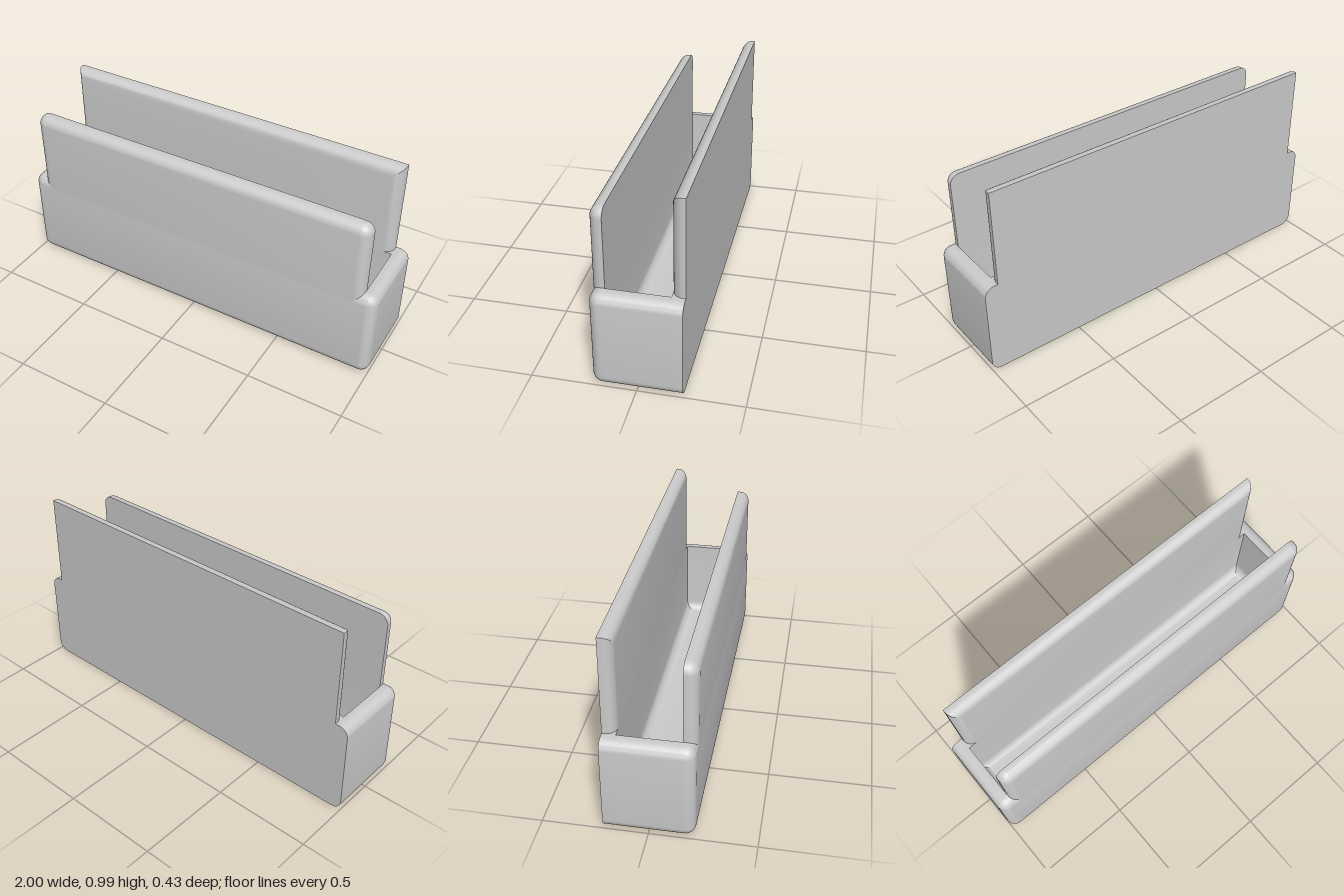
import * as THREE from 'three';
import { toCreasedNormals } from 'three/addons/utils/BufferGeometryUtils.js';

const R = 0.05;      // fillet radius
const STEPS = 8;     // segments per fillet
const BACK = -0.213, FRONT = 0.213, INNER = 0.149;
const PANEL_W = 0.93, BASE_TOP = 0.492, FLOOR = 0.065;

// Skin a list of equal-length rings; convex caps are fans. skip(i, j) leaves a quad open.
function loft(rings, { startCap = true, skip = () => false } = {}) {
  const pos = [];
  const tri = (...pts) => pts.forEach((p) => pos.push(...p));
  const n = rings[0].length;
  for (let i = 0; i < rings.length - 1; i++) {
    for (let j = 0; j < n; j++) {
      if (skip(i, j)) continue;
      const k = (j + 1) % n;
      const a = rings[i][j], b = rings[i][k], c = rings[i + 1][k], d = rings[i + 1][j];
      tri(a, b, c);
      tri(a, c, d);
    }
  }
  const last = rings[rings.length - 1];
  for (let j = 1; j < n - 1; j++) {
    tri(last[0], last[j], last[j + 1]);
    if (startCap) tri(rings[0][0], rings[0][j + 1], rings[0][j]);
  }
  const geo = new THREE.BufferGeometry();
  geo.setAttribute('position', new THREE.Float32BufferAttribute(pos, 3));
  return toCreasedNormals(geo, 0.6);
}

// Quarter-round steps: how far each ring moves inward and along
const fillet = Array.from({ length: STEPS + 1 }, (_, i) => {
  const t = (i / STEPS) * Math.PI / 2;
  return { inset: R * (1 - Math.cos(t)), along: R * Math.sin(t) };
});

// Upright outline, counter-clockwise from the front, with optional corner radii
function outline(z, inset, { w, y0, y1, top = 0, bottom = 0, insetBottom = false, slot = 0 }) {
  const pts = [];
  const corner = (sx, sy, r, a0, edgeInset) => {
    const rad = Math.max(r - inset, 0);
    const cx = sx * (w - Math.max(r, inset));
    const cy = sy > 0 ? y1 - Math.max(r, inset) : y0 + (edgeInset ? Math.max(r, inset) : 0);
    const n = r > 0 ? STEPS : 0;
    for (let i = 0; i <= n; i++) {
      const a = a0 + (n ? (i / n) * Math.PI / 2 : 0);
      pts.push([cx + rad * Math.cos(a), cy + rad * Math.sin(a), z]);
    }
  };
  corner(1, 1, top, 0, true);
  if (slot) pts.push([slot, y1 - inset, z], [-slot, y1 - inset, z]);
  corner(-1, 1, top, Math.PI / 2, true);
  corner(-1, -1, bottom, Math.PI, insetBottom);
  corner(1, -1, bottom, Math.PI * 1.5, insetBottom);
  return pts;
}

// Slab with a flat back and a filleted front
function slab(zs, zFront, shape, options) {
  return loft([
    ...zs.map((z) => outline(z, 0, shape)),
    ...fillet.map((f) => outline(zFront - R + f.along, f.inset, shape)),
  ], options);
}

export function createModel() {
  const model = new THREE.Group();
  const material = new THREE.MeshStandardMaterial({ color: 0xcccccc });
  const add = (name, geo) => {
    const mesh = new THREE.Mesh(geo, material);
    mesh.name = name;
    model.add(mesh);
  };

  // Tray body, with its top left open over the pocket
  add('base', slab([BACK, -INNER, INNER], FRONT, {
    w: 1, y0: 0, y1: BASE_TOP, top: R, bottom: R, insetBottom: true, slot: PANEL_W,
  }, { skip: (i, j) => i === 1 && j === STEPS + 1 }));

  // Pocket walls running down into a filleted floor
  const pocketRing = (y, inset) => {
    const x = PANEL_W - inset, z = INNER - inset;
    return [[x, y, z], [x, y, -z], [-x, y, -z], [-x, y, z]];
  };
  add('pocket', loft([
    pocketRing(BASE_TOP, 0),
    ...fillet.map((f) => pocketRing(FLOOR + R - f.along, f.inset)),
  ], { startCap: false }));

  // Lower front panel with rounded top corners
  add('frontPanel', slab([INNER], FRONT, {
    w: PANEL_W, y0: BASE_TOP - R, y1: 0.886, top: R,
  }));

  // Taller back panel with square, mitred corners
  add('backPanel', slab([BACK], -INNER, {
    w: PANEL_W, y0: BASE_TOP, y1: 0.985,
  }));

  return model;
}
